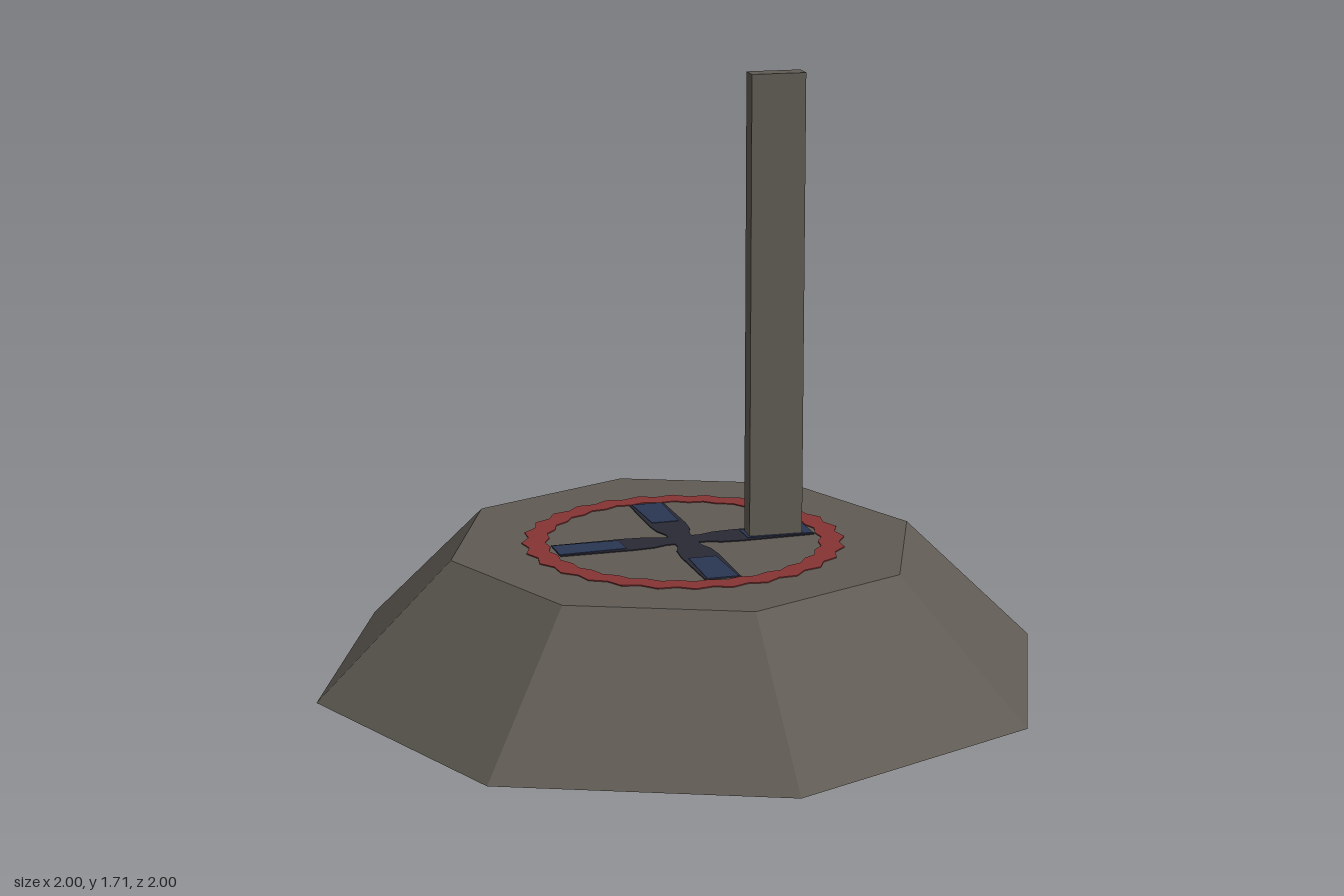
import * as THREE from 'three';

const TOP = 0.38; // height of the raised platform

const mat = (name, color, extra = {}) => {
  const m = new THREE.MeshStandardMaterial({ color, flatShading: true, ...extra });
  m.name = name;
  return m;
};

// Flat plate lying in the deck, showing on its upper and lower side
function plate(name, shape, thickness, material) {
  const g = new THREE.ExtrudeGeometry(shape, { depth: thickness, bevelEnabled: false });
  g.translate(0, 0, -thickness / 2);
  g.rotateX(-Math.PI / 2);
  const mesh = new THREE.Mesh(g, material);
  mesh.name = name;
  mesh.position.y = TOP;
  return mesh;
}

// Ragged circle outline
function raggedCircle(radius, wobble, teeth) {
  const pts = [];
  for (let i = 0; i < teeth * 2; i++) {
    const a = (i / (teeth * 2)) * Math.PI * 2;
    const r = radius + (i % 2 ? wobble : -wobble);
    pts.push(new THREE.Vector2(Math.cos(a) * r, Math.sin(a) * r));
  }
  return pts;
}

// Closed shape mirrored across the arm's long axis
function armShape(profile) {
  const pts = profile.map(([u, v]) => new THREE.Vector2(u, -v));
  for (const [u, v] of [...profile].reverse()) pts.push(new THREE.Vector2(u, v));
  return new THREE.Shape(pts);
}

export function createModel() {
  const model = new THREE.Group();
  model.name = 'platformWithPost';

  const stone = mat('warm grey stone', 0x605b54, { side: THREE.DoubleSide });
  const red = mat('dull red', 0x863434);
  const dark = mat('blue black', 0x2a2a36);
  const blue = mat('navy blue', 0x2a3653);

  // Octagonal shell, open underneath
  const profile = [[1.064, 0], [0.676, TOP], [0, TOP]].map(([r, y]) => new THREE.Vector2(r, y));
  const base = new THREE.Mesh(
    new THREE.LatheGeometry(profile, 8, THREE.MathUtils.degToRad(25.1)), stone);
  base.name = 'octagonalBase';
  model.add(base);

  // Upright post
  const post = new THREE.Mesh(new THREE.BoxGeometry(0.155, 1.33, 0.06), stone);
  post.name = 'post';
  post.position.set(0.25, TOP + 1.33 / 2, 0.094);
  post.rotation.y = -0.4;
  model.add(post);

  // Painted ring
  const ringShape = new THREE.Shape(raggedCircle(0.451, 0.009, 28));
  ringShape.holes.push(new THREE.Path(raggedCircle(0.388, 0.006, 28)));
  model.add(plate('paintedRing', ringShape, 0.006, red));

  // Painted four-armed cross with blue tips
  const arm = armShape([[0, 0.035], [0.06, 0.035], [0.1, 0.05], [0.16, 0.055], [0.375, 0.052]]);
  const tip = armShape([[0.18, 0.04], [0.375, 0.045]]);
  const cross = new THREE.Group();
  cross.name = 'paintedCross';
  for (let i = 0; i < 4; i++) {
    const a = THREE.MathUtils.degToRad(-19.5 + 90 * i);
    const armMesh = plate('crossArm', arm, 0.006, dark);
    const tipMesh = plate('crossArmTip', tip, 0.009, blue);
    armMesh.rotation.y = tipMesh.rotation.y = a;
    cross.add(armMesh, tipMesh);
  }
  model.add(cross);

  return model;
}
